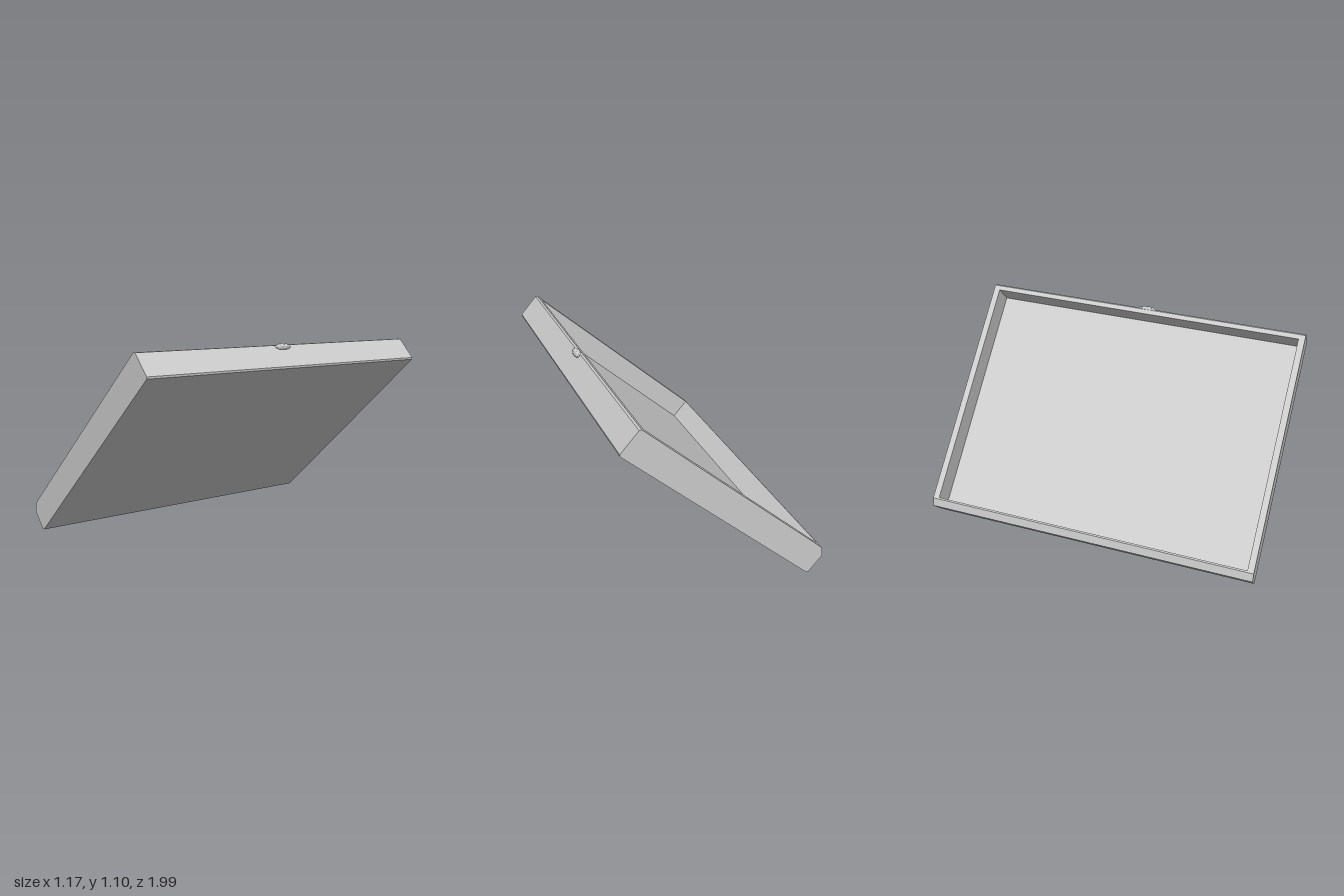
import * as THREE from 'three';

const LENGTH = 1.462, HEIGHT = 0.166, FLOOR = 0.03, RIM = 0.038, HALF = 0.995;

export function createModel() {
  const model = new THREE.Group();
  model.name = 'tiltedTray';
  const material = new THREE.MeshStandardMaterial({ color: 0xcccccc, flatShading: true });

  // The tray lies flat in its own group, then the group is tilted.
  const tray = new THREE.Group();
  tray.name = 'tray';
  tray.position.set(-0.502, 0.004, 0);
  tray.rotation.z = Math.atan2(0.975, 1.09);
  model.add(tray);

  const add = (name, geometry) => {
    const mesh = new THREE.Mesh(geometry, material);
    mesh.name = name;
    tray.add(mesh);
    return mesh;
  };
  // Extrude a lengthwise profile between two z positions.
  const slab = (name, points, z0, z1) => {
    const shape = new THREE.Shape(points.map(([x, y]) => new THREE.Vector2(x, y)));
    const geometry = new THREE.ExtrudeGeometry(shape, { depth: z1 - z0, bevelEnabled: false });
    return add(name, geometry.translate(0, 0, z0));
  };

  // Outer outline: chamfered low end, slightly eased edges elsewhere.
  const lowEnd = [[0.04, HEIGHT], [-0.003, 0.131], [-0.003, 0.01], [0.008, 0]];
  const highEnd = [[LENGTH - 0.008, 0], [LENGTH, 0.008], [LENGTH, HEIGHT - 0.01], [LENGTH - 0.01, HEIGHT]];
  const inner = HALF - RIM;

  // Side walls
  slab('leftWallFront', [...lowEnd, ...highEnd], inner, HALF);
  slab('rightWallBack', [...lowEnd, ...highEnd], -HALF, -inner);

  // Floor and end walls between the side walls
  slab('floor', [[0.05, 0], [LENGTH - RIM, 0], [LENGTH - RIM, FLOOR], [0.05, FLOOR]], -inner, inner);
  slab('lowEndWall', [...lowEnd, [0.05, 0], [0.05, HEIGHT]], -inner, inner);
  slab('highEndWall', [[LENGTH - RIM, 0], ...highEnd, [LENGTH - RIM, HEIGHT]], -inner, inner);

  // Small worn lump on the upper edge
  const lump = add('edgeLump', new THREE.IcosahedronGeometry(1, 1));
  lump.scale.set(0.024, 0.022, 0.06);
  lump.position.set(LENGTH - 0.004, HEIGHT - 0.022, 0.02);

  return model;
}
